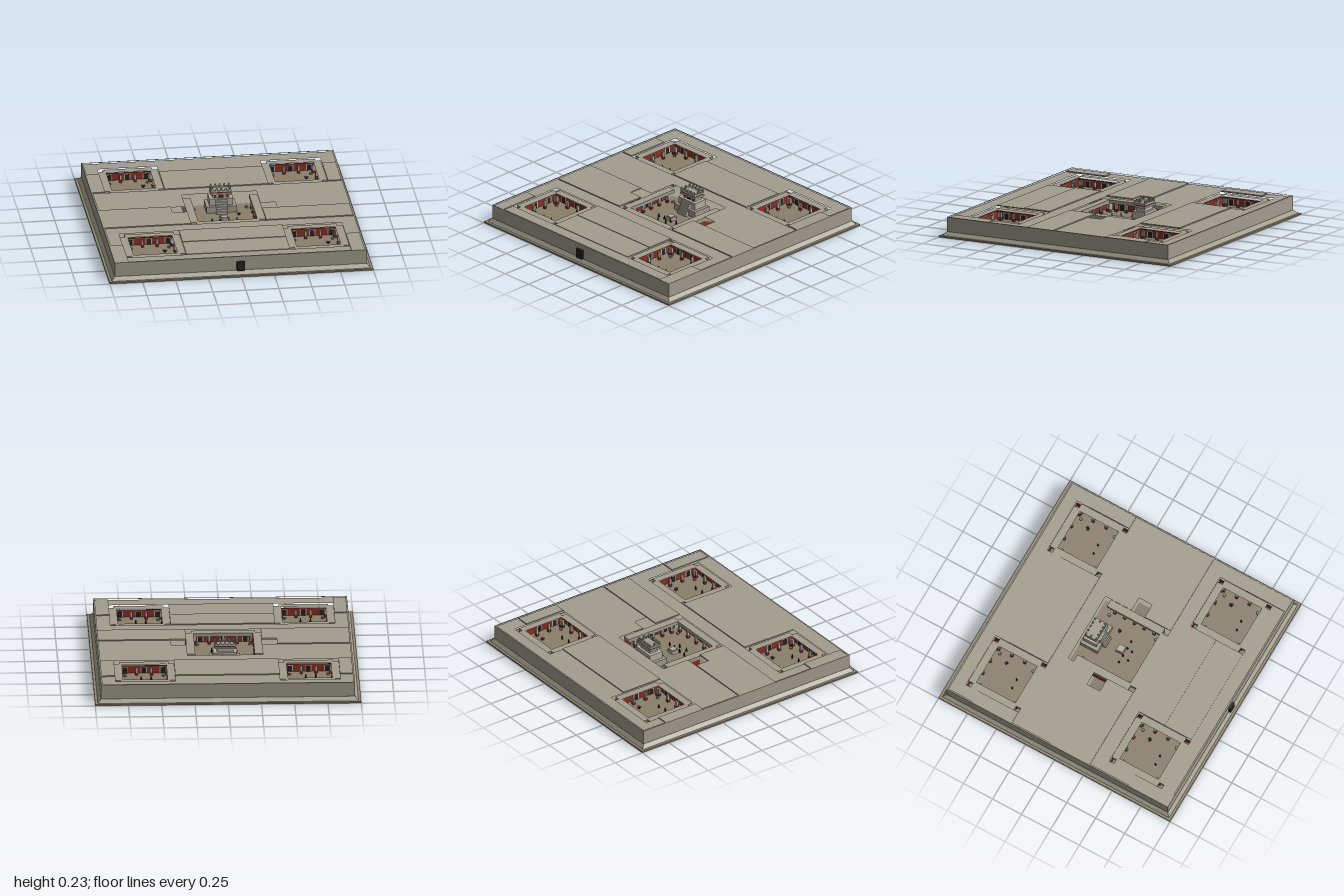
import * as THREE from 'three';

const mats = {};
const mat = (c) => (mats[c] ??= new THREE.MeshStandardMaterial({ color: c }));
const STONE = 0xa39d8d, LIGHT = 0xb5b0a3, FLOOR = 0x8b7f6b, RED = 0x8a2f25, DARK = 0x24221f, GREEN = 0x2c3a2c;
const BASE = 0.04, GROUND = 0.044, ROOF = 0.139, EAVE = 0.118, SLAB = 0.014;

function add(parent, name, geo, color, x = 0, y = 0, z = 0) {
  const m = new THREE.Mesh(geo, mat(color));
  m.name = name;
  m.position.set(x, y, z);
  parent.add(m);
  return m;
}

// Box given by its limits
function block(parent, name, color, x0, x1, y0, y1, z0, z1) {
  return add(parent, name, new THREE.BoxGeometry(x1 - x0, y1 - y0, z1 - z0), color,
    (x0 + x1) / 2, (y0 + y1) / 2, (z0 + z1) / 2);
}

function group(parent, name, x = 0, y = 0, z = 0) {
  const g = new THREE.Group();
  g.name = name;
  g.position.set(x, y, z);
  parent.add(g);
  return g;
}

// Square frustum with half widths at bottom and top
function frustum(parent, name, color, r0, r1, y0, y1) {
  const geo = new THREE.CylinderGeometry(r1 * Math.SQRT2, r0 * Math.SQRT2, y1 - y0, 4, 1).toNonIndexed();
  geo.rotateY(Math.PI / 4);
  geo.computeVertexNormals();
  return add(parent, name, geo, color, 0, (y0 + y1) / 2, 0);
}

// Plan outline from [x, z] corners
const outline = (pts, Type = THREE.Shape) => new Type(pts.map(([x, z]) => new THREE.Vector2(x, -z)));
const rect = (x0, x1, z0, z1) => [[x0, z0], [x1, z0], [x1, z1], [x0, z1]];

// Plan with holes raised from y0 to y1
function raised(parent, name, color, plan, holes, y0, y1) {
  const shape = outline(plan);
  shape.holes = holes.map((h) => outline(h, THREE.Path));
  const geo = new THREE.ExtrudeGeometry(shape, { depth: y1 - y0, bevelEnabled: false });
  geo.rotateX(-Math.PI / 2);
  return add(parent, name, geo, color, 0, y0, 0);
}

function figure(parent, x, z) {
  const g = group(parent, 'figure', x, GROUND, z);
  add(g, 'robe', new THREE.CylinderGeometry(0.004, 0.007, 0.026, 8), DARK, 0, 0.013, 0);
  add(g, 'head', new THREE.SphereGeometry(0.0045, 8, 6), 0x6b4a35, 0, 0.029, 0);
}

// Spiky plant: leaves leaning out around one centre
function plant(parent, x, z) {
  const g = group(parent, 'plant', x, GROUND, z);
  for (let i = 0; i < 8; i++) {
    const leaf = new THREE.ConeGeometry(0.005, 0.028, 4);
    leaf.translate(0, 0.014, 0).rotateZ(-0.75).rotateY((i * Math.PI) / 4);
    add(g, 'leaf', leaf, GREEN);
  }
}

// One portico side, running along x and facing -z from its back wall
function colonnade(parent, name, x, z, turn, length, depth, pillars) {
  const g = group(parent, name, x, 0, z);
  g.rotation.y = turn;
  const h = length / 2, top = EAVE - SLAB;
  block(g, 'redWall', RED, -h, h, GROUND, top, -0.004, 0);
  for (let i = 0; i < 3; i++) {
    const c = ((i - 1) * length) / 3.2;
    block(g, 'doorFrame', LIGHT, c - 0.024, c + 0.024, GROUND, 0.094, -0.007, -0.003);
    block(g, 'doorway', DARK, c - 0.017, c + 0.017, GROUND, 0.089, -0.008, -0.004);
  }
  for (let i = 0; i < pillars; i++) {
    const c = -h + depth + ((length - 2 * depth) * i) / (pillars - 1);
    block(g, 'pillar', LIGHT, c - 0.009, c + 0.009, GROUND, top, -depth, -depth + 0.018);
    block(g, 'pillarFoot', RED, c - 0.01, c + 0.01, GROUND, GROUND + 0.022, -depth - 0.001, -depth + 0.019);
  }
}

function floorDrums(parent, x0, x1, z0, z1) {
  for (const x of [x0, x1]) for (const z of [z0, z1])
    add(parent, 'floorDrum', new THREE.CylinderGeometry(0.012, 0.012, 0.012, 20), FLOOR, x, GROUND + 0.006, z);
}

// Corner courtyard: portico roof around an open patio with four light wells
function courtyard(parent, x, z) {
  const g = group(parent, 'courtyard', x, 0, z);
  const R = 0.226, P = 0.167, W = 0.186;
  block(g, 'patioFloor', FLOOR, -R, R, BASE - 0.005, GROUND, -R, R);
  // Outline with the corners cut out as wells
  const plan = [[-W, -R], [W, -R], [W, -W], [R, -W], [R, W], [W, W], [W, R], [-W, R], [-W, W], [-R, W], [-R, -W], [-W, -W]];
  raised(g, 'porticoRoof', STONE, plan, [rect(-P, P, -P, P)], EAVE - SLAB, EAVE + 0.014);
  for (let i = 0; i < 4; i++) {
    const a = (i * Math.PI) / 2;
    colonnade(g, 'portico', Math.sin(a) * R, Math.cos(a) * R, a, 2 * R, R - P, 4);
  }
  floorDrums(g, -0.145, 0.145, -0.145, 0.145);
  plant(g, 0.1, -0.06);
  figure(g, -0.05, 0.075);
  figure(g, 0.025, 0.07);
}

// Raised shrine with stairs, cornice bands and merlons
function shrine(parent) {
  const g = group(parent, 'shrine', 0, 0, -0.21);
  block(g, 'lowerTier', STONE, -0.115, 0.115, GROUND, 0.095, -0.07, 0.08);
  block(g, 'upperTier', LIGHT, -0.09, 0.09, 0.095, 0.15, -0.058, 0.056);
  for (let i = 0; i < 6; i++)
    block(g, 'step', LIGHT, -0.045, 0.045, GROUND, 0.062 + i * 0.0165, 0.05, 0.112 - i * 0.009);
  block(g, 'shrineBody', LIGHT, -0.062, 0.062, 0.15, 0.178, -0.038, 0.032);
  block(g, 'shrineDoor', DARK, -0.018, 0.018, 0.15, 0.174, 0.03, 0.035);
  for (const s of [-1, 1]) block(g, 'shrinePillar', RED, s * 0.045 - 0.007, s * 0.045 + 0.007, 0.15, 0.178, 0.028, 0.036);
  block(g, 'cornice', LIGHT, -0.08, 0.08, 0.176, 0.19, -0.05, 0.05);
  block(g, 'redBand', RED, -0.073, 0.073, 0.19, 0.2, -0.044, 0.044);
  raised(g, 'upperCornice', LIGHT, rect(-0.078, 0.078, -0.049, 0.049), [rect(-0.066, 0.066, -0.037, 0.037)], 0.2, 0.211);
  block(g, 'shrineRoof', STONE, -0.068, 0.068, 0.198, 0.204, -0.039, 0.039);
  const merlon = (x, z) => {
    block(g, 'merlon', LIGHT, x - 0.008, x + 0.008, 0.21, 0.223, z - 0.006, z + 0.006);
    block(g, 'merlonCap', LIGHT, x - 0.005, x + 0.005, 0.223, 0.232, z - 0.005, z + 0.005);
  };
  for (let i = -2; i <= 2; i++) for (const z of [-0.043, 0.043]) merlon(i * 0.034, z);
  for (const x of [-0.068, 0.068]) merlon(x, 0);
}

function centralCourt(parent) {
  const g = group(parent, 'centralCourt');
  block(g, 'courtFloor', FLOOR, -0.284, 0.284, BASE - 0.005, GROUND, -0.286, 0.276);
  for (const s of [-1, 1]) {
    block(g, 'sideWellFloor', 0x827866, s * 0.34 - 0.058, s * 0.34 + 0.058, BASE - 0.005, GROUND - 0.001, -0.06, 0.052);
    block(g, 'sidePorticoRoof', STONE, s * 0.254 - 0.031, s * 0.254 + 0.031, EAVE - SLAB, EAVE + 0.014, -0.24, 0.229);
    colonnade(g, 'sidePortico', s * 0.284, -0.006, s * Math.PI / 2, 0.46, 0.06, 5);
  }
  block(g, 'frontPorticoRoof', STONE, -0.24, 0.24, EAVE - SLAB, EAVE + 0.0138, 0.216, 0.276);
  colonnade(g, 'frontPortico', 0, 0.275, 0, 0.54, 0.06, 5);
  shrine(g);
  // Altar and gathered figures
  block(g, 'altar', LIGHT, -0.03, 0.03, GROUND, 0.068, -0.02, 0.04);
  block(g, 'altarTop', LIGHT, -0.024, 0.024, 0.068, 0.076, -0.014, 0.034);
  for (const [x, z] of [[-0.095, 0.045], [-0.035, 0.046], [0.032, 0.046], [0.092, 0.045], [-0.05, 0.098], [0.025, 0.09]]) figure(g, x, z);
  plant(g, 0.122, -0.07);
  floorDrums(g, -0.202, 0.198, -0.205, 0.197);
}

export function createModel() {
  const root = new THREE.Group();
  root.name = 'palaceCompound';

  // Stepped, sloping plinth
  block(root, 'groundSlab', 0x8f8672, -1, 1, 0, 0.012, -1, 1);
  frustum(root, 'slopingPlinth', STONE, 0.98, 0.956, 0.012, BASE);

  // Solid building mass pierced by the five courts
  const centres = [[-0.622, -0.624], [0.616, -0.624], [-0.622, 0.614], [0.616, 0.614]];
  const R = 0.226;
  const holes = centres.map(([x, z]) => rect(x - R, x + R, z - R, z + R));
  holes.push([[-0.284, -0.286], [0.284, -0.286], [0.284, -0.06], [0.398, -0.06], [0.398, 0.052], [0.284, 0.052],
    [0.284, 0.276], [-0.284, 0.276], [-0.284, 0.052], [-0.398, 0.052], [-0.398, -0.06], [-0.284, -0.06]]);
  raised(root, 'buildingMass', STONE, rect(-0.955, 0.955, -0.955, 0.955), holes, BASE, ROOF);
  raised(root, 'parapet', STONE, rect(-0.955, 0.955, -0.955, 0.955), [rect(-0.943, 0.943, -0.943, 0.943)], ROOF, 0.151);

  // Raised roof terraces between the courts: x0, x1, z0, z1
  const terraces = [
    [-0.396, 0.39, -0.735, -0.398], [-0.943, -0.848, -0.74, -0.398], [0.842, 0.943, -0.74, -0.398],
    [-0.396, 0.39, 0.388, 0.61], [-0.396, 0.39, 0.61, 0.84],
    [-0.943, -0.848, 0.61, 0.943], [0.842, 0.943, 0.61, 0.943],
    [-0.943, -0.398, -0.06, 0.276], [0.398, 0.943, 0.052, 0.276],
    [-0.398, -0.284, 0.052, 0.276], [0.284, 0.398, 0.052, 0.276],
  ];
  terraces.forEach(([x0, x1, z0, z1], i) =>
    block(root, 'roofTerrace', STONE, x0, x1, ROOF - 0.002, i === 4 ? 0.143 : 0.147, z0, z1));

  for (const [x, z] of centres) courtyard(root, x, z);
  centralCourt(root);

  // Main entrance on the front wall
  block(root, 'mainDoor', DARK, -0.031, 0.031, BASE, 0.112, 0.95, 0.973);
  return root;
}
